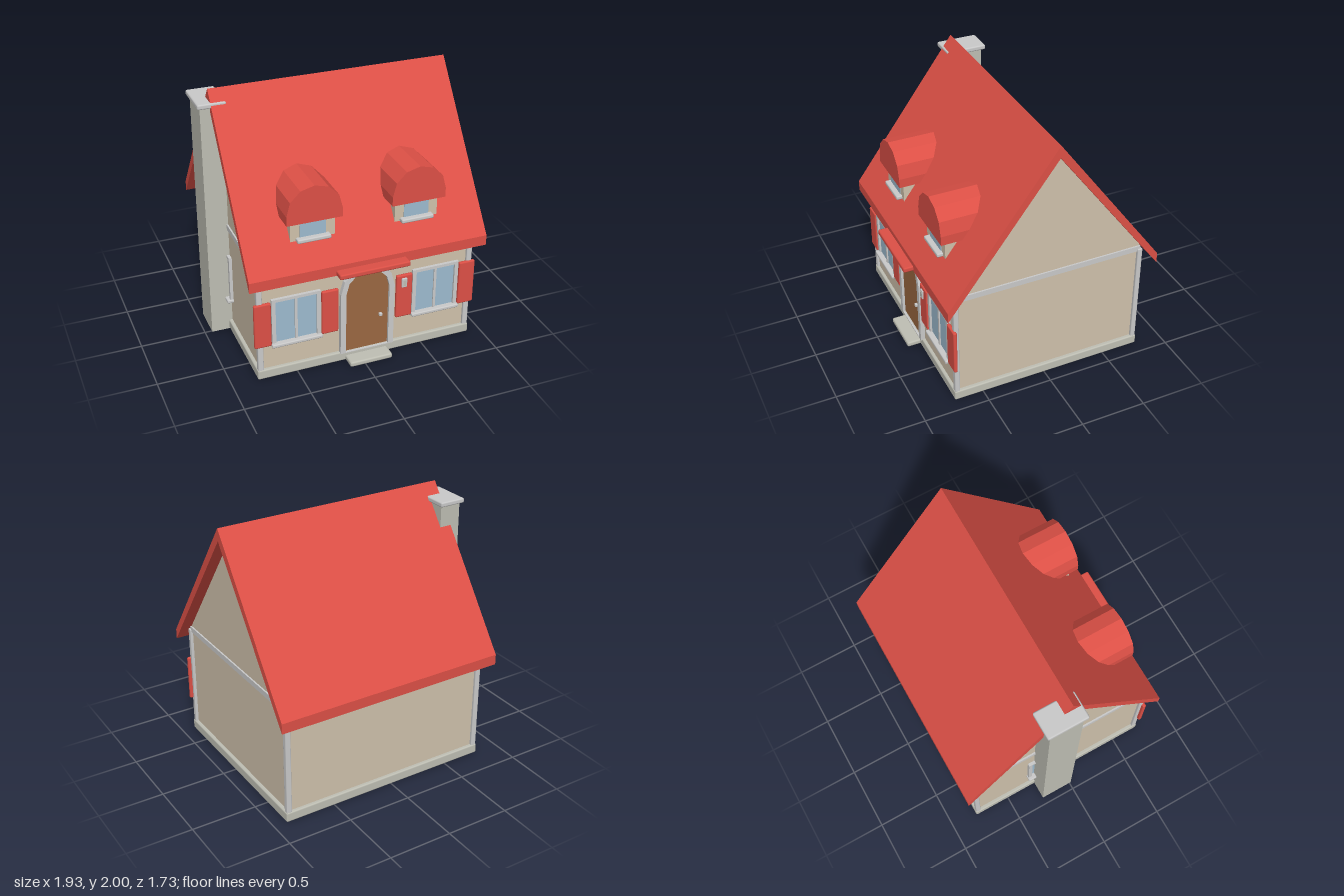
import * as THREE from 'three';
import { RoundedBoxGeometry } from 'three/addons/geometries/RoundedBoxGeometry.js';

const mat = (name, color) => {
  const m = new THREE.MeshStandardMaterial({ color });
  m.name = name;
  return m;
};

export function createModel() {
  const house = new THREE.Group();
  house.name = 'house';
  const red = mat('red', 0xdd5046), plaster = mat('plaster', 0xd0c2ac), stone = mat('stone', 0xbfbfb4);
  const trim = mat('lightGrey', 0xcacaca), glass = mat('glass', 0x9dbbcf), wood = mat('wood', 0x9b6841);
  const C = 0.047; // middle of the facade
  const FRONT = 0.70, BACK = -0.765, LEFT = 0.873, RIGHT = -0.778; // wall planes

  const add = (parent, name, geometry, material) => {
    const m = new THREE.Mesh(geometry, material);
    m.name = name;
    parent.add(m);
    return m;
  };
  // box given by its limits, with bevelled edges when r > 0
  const box = (parent, name, material, [x0, x1], [y0, y1], [z0, z1], r = 0) => {
    const s = [x1 - x0, y1 - y0, z1 - z0];
    const g = r ? new RoundedBoxGeometry(...s, 1, r) : new THREE.BoxGeometry(...s);
    g.translate((x0 + x1) / 2, (y0 + y1) / 2, (z0 + z1) / 2);
    return add(parent, name, g, material);
  };
  const group = (name) => {
    const g = new THREE.Group();
    g.name = name;
    house.add(g);
    return g;
  };
  // [z, y] profile swept along x
  const sweepX = (pts, x0, x1) => {
    const shape = new THREE.Shape(pts.map(([z, y]) => new THREE.Vector2(z, y)));
    const g = new THREE.ExtrudeGeometry(shape, { depth: x1 - x0, bevelEnabled: false });
    return g.rotateY(-Math.PI / 2).translate(x1, 0, 0);
  };
  // outline with a six-sided round top
  const archPoints = (r, bottom, spring) => {
    const pts = [new THREE.Vector2(-r, bottom), new THREE.Vector2(r, bottom)];
    for (let i = 0; i <= 6; i++) {
      const a = i * Math.PI / 6;
      pts.push(new THREE.Vector2(r * Math.cos(a), spring + r * Math.sin(a)));
    }
    return pts;
  };
  const extrudeZ = (shape, x, z0, z1) =>
    new THREE.ExtrudeGeometry(shape, { depth: z1 - z0, bevelEnabled: false }).translate(x, 0, z0);

  // walls with gables
  add(house, 'walls', sweepX([[BACK, 0.03], [FRONT, 0.03], [FRONT, 0.935], [-0.035, 1.915], [BACK, 0.945]], RIGHT, LEFT), plaster);
  box(house, 'plinth', stone, [-0.805, 0.9], [0, 0.078], [-0.79, 0.725], 0.012);
  for (const x of [-0.778, 0.873])
    for (const z of [0.7, -0.765])
      box(house, 'cornerPost', trim, [x - 0.022, x + 0.022], [0.07, 0.9], [z - 0.02, z + 0.02], 0.008);
  for (const x of [-0.778, 0.873])
    box(house, 'gableBeam', trim, [x - 0.012, x + 0.012], [0.88, 0.923], [-0.77, 0.7]);

  // main roof
  add(house, 'roof', sweepX([[0.79, 0.8], [0.79, 0.88], [-0.035, 2], [-0.865, 0.88], [-0.865, 0.8], [-0.035, 1.905]], -0.87, 0.965), red);

  // chimney
  box(house, 'chimneyStack', stone, [-0.945, -0.775], [0, 1.89], [-0.25, 0.012]);
  box(house, 'chimneyCap', trim, [-0.968, -0.755], [1.876, 1.915], [-0.28, 0.04], 0.012);

  // framed window with two panes, centred on x = 0 and lying on z = 0
  const makeWindow = () => {
    const w = group('window');
    for (const s of [-1, 1]) {
      box(w, 'frameSide', trim, s < 0 ? [-0.187, -0.157] : [0.157, 0.187], [0.28, 0.66], [-0.005, 0.024]);
      box(w, 'pane', glass, s < 0 ? [-0.157, -0.01] : [0.01, 0.157], [0.29, 0.645], [0, 0.008]);
    }
    box(w, 'frameTop', trim, [-0.157, 0.157], [0.638, 0.66], [-0.005, 0.024]);
    box(w, 'mullion', trim, [-0.01, 0.01], [0.29, 0.64], [-0.005, 0.018]);
    box(w, 'sill', trim, [-0.195, 0.195], [0.266, 0.294], [-0.01, 0.05], 0.009);
    return w;
  };
  for (const s of [-1, 1]) {
    const w = makeWindow();
    w.position.set(C + s * 0.55, 0, FRONT);
    for (const t of [-1, 1]) {
      const x = t * 0.257;
      box(w, 'shutter', red, [x - 0.065, x + 0.065], [0.282, 0.645], [0.004, 0.034], 0.011);
    }
  }
  const sideWindow = makeWindow();
  sideWindow.rotation.y = -Math.PI / 2;
  sideWindow.position.set(RIGHT, 0, -0.12);

  // door with arched surround
  const door = group('door');
  const surround = new THREE.Shape(archPoints(0.212, 0.07, 0.583));
  surround.holes.push(new THREE.Path(archPoints(0.17, 0.075, 0.583).reverse()));
  add(door, 'doorSurround', extrudeZ(surround, C, FRONT - 0.01, 0.735), trim);
  add(door, 'doorLeaf', extrudeZ(new THREE.Shape(archPoints(0.171, 0.075, 0.583)), C, FRONT - 0.01, 0.715), wood);
  box(door, 'doorKnob', trim, [0.143, 0.169], [0.328, 0.354], [0.71, 0.735], 0.006);
  box(door, 'doorstep', stone, [-0.122, 0.216], [0, 0.042], [0.68, 0.83], 0.014);
  box(door, 'doorCanopy', red, [-0.225, 0.32], [0.8, 0.842], [0.69, 0.865], 0.012);

  // bell plate beside the door
  box(house, 'bellPlate', trim, [0.313, 0.357], [0.545, 0.622], [0.725, 0.745], 0.006);
  box(house, 'bellButton', stone, [0.323, 0.347], [0.56, 0.607], [0.744, 0.748]);

  // dormers
  for (const s of [-1, 1]) {
    const x = C + s * 0.398;
    const d = group('dormer');
    box(d, 'dormerWall', plaster, [x - 0.167, x + 0.167], [1.062, 1.23], [0.45, 0.655]);
    add(d, 'dormerRoof', extrudeZ(new THREE.Shape(archPoints(0.208, 1.218, 1.29)), x, 0.3, 0.7), red);
    box(d, 'dormerPane', glass, [x - 0.097, x + 0.097], [1.08, 1.218], [0.653, 0.66]);
    box(d, 'dormerSill', trim, [x - 0.127, x + 0.127], [1.058, 1.09], [0.64, 0.7], 0.01);
  }
  return house;
}
